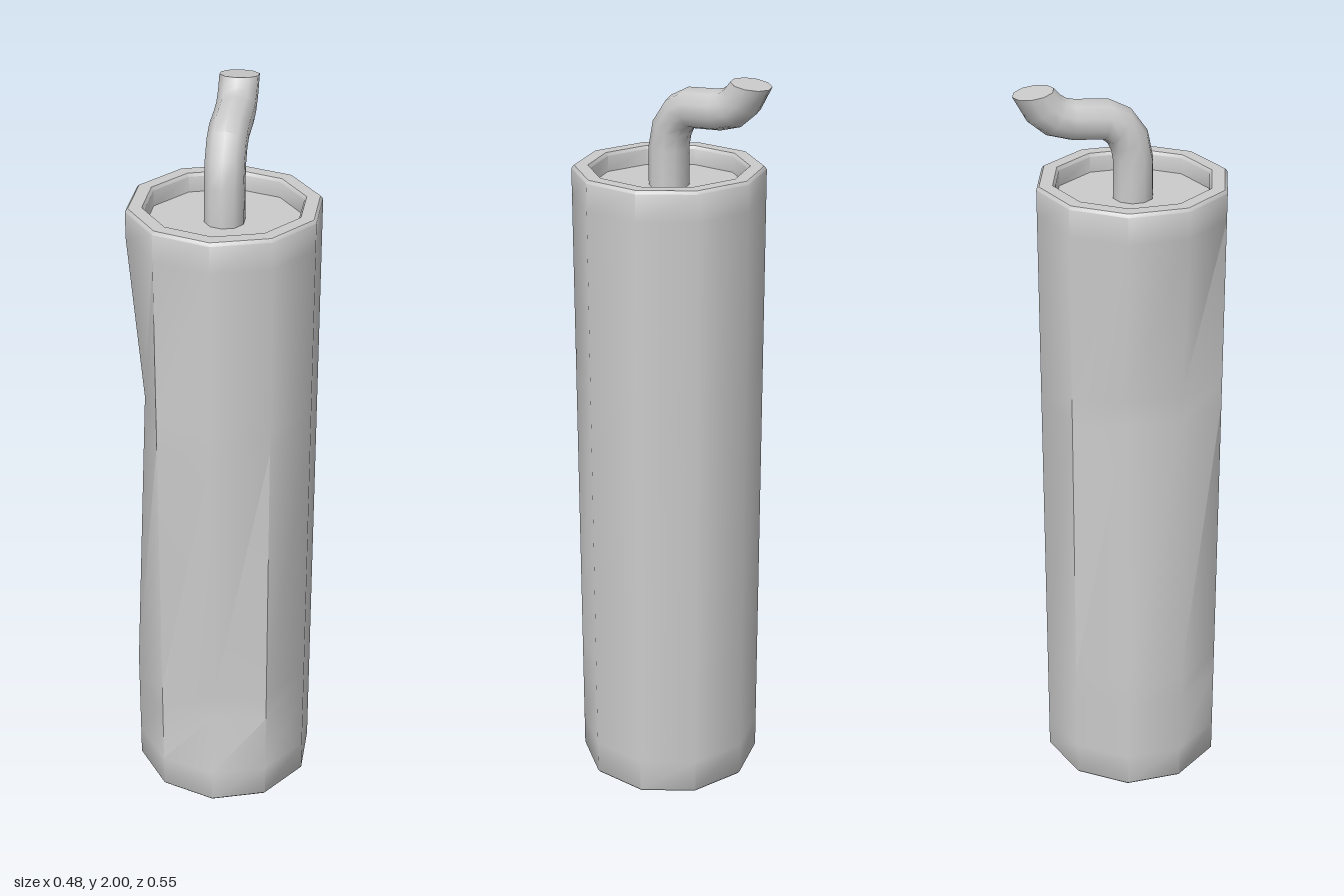
import * as THREE from 'three';
import { toCreasedNormals } from 'three/addons/utils/BufferGeometryUtils.js';

const SIDES = 10;
const CENTRE_Z = 0.026;

// Skin a list of rings (each with SIDES points), skipping collapsed triangles
function loft(rings, crease) {
  const pos = [];
  const tri = (a, b, c) => {
    if (a.distanceTo(b) < 1e-6 || b.distanceTo(c) < 1e-6 || c.distanceTo(a) < 1e-6) return;
    for (const p of [a, b, c]) pos.push(p.x, p.y, p.z);
  };
  for (let i = 0; i < rings.length - 1; i++) {
    for (let k = 0; k < SIDES; k++) {
      const n = (k + 1) % SIDES;
      const a = rings[i][k], b = rings[i][n], c = rings[i + 1][n], d = rings[i + 1][k];
      tri(a, b, c);
      tri(a, c, d);
    }
  }
  const geometry = new THREE.BufferGeometry();
  geometry.setAttribute('position', new THREE.Float32BufferAttribute(pos, 3));
  return toCreasedNormals(geometry, crease);
}

// Linear bump: 0 at low, 1 at peak, 0 at high
function bump(y, low, peak, high) {
  if (y <= low || y >= high) return 0;
  return y < peak ? (y - low) / (peak - low) : (high - y) / (high - peak);
}

const ringOf = (fn) => Array.from({ length: SIDES }, (_, k) => fn(k, (k / SIDES) * Math.PI * 2));

// Dented stick with a recessed underside and a raised rim on top
function bodyGeometry() {
  const profile = [[0, 0.045], [0.202, 0.045], [0.202, 0.008], [0.208, 0], [0.243, 0], [0.25, 0.008]];
  for (const y of [0.1, 0.28, 0.36, 1.15, 1.22, 1.67]) profile.push([0.25, y]);
  profile.push([0.25, 1.742], [0.243, 1.75], [0.208, 1.75], [0.202, 1.742], [0.202, 1.7], [0, 1.7]);
  return loft(profile.map(([r, y]) => ringOf((k, a) => {
    const p = new THREE.Vector3(r * Math.sin(a), y, CENTRE_Z + r * Math.cos(a));
    if (k === 7 || k === 8) p.x += 0.038 * bump(y, 0.36, 1.22, 1.67);
    if (k === 0) p.z -= 0.031 * bump(y, 0.1, 0.28, 1.15);
    return p;
  })), 0.7);
}

// Wick bending backwards, then up again; sections are z, y, backward tilt in degrees
function wickGeometry() {
  const sections = [
    [0.026, 1.69, 0], [0.026, 1.8, 0], [0.016, 1.85, 25], [-0.01, 1.89, 55], [-0.045, 1.91, 80],
    [-0.13, 1.917, 85], [-0.17, 1.928, 60], [-0.2, 1.952, 35], [-0.226, 1.993, 8],
  ];
  const section = ([z, y, deg], r) => {
    const t = THREE.MathUtils.degToRad(deg);
    return ringOf((k, a) => new THREE.Vector3(
      r * Math.sin(a), y + r * Math.cos(a) * Math.sin(t), z + r * Math.cos(a) * Math.cos(t)));
  };
  const rings = sections.map((s) => section(s, 0.052));
  rings.push(section(sections[sections.length - 1], 0)); // end cap
  return loft(rings, 0.75);
}

export function createModel() {
  const group = new THREE.Group();
  group.name = 'candle';
  const material = new THREE.MeshStandardMaterial({ color: 0xcccccc });
  const add = (name, geometry) => {
    const mesh = new THREE.Mesh(geometry, material);
    mesh.name = name;
    group.add(mesh);
  };
  add('body', bodyGeometry());
  add('wick', wickGeometry());
  return group;
}
